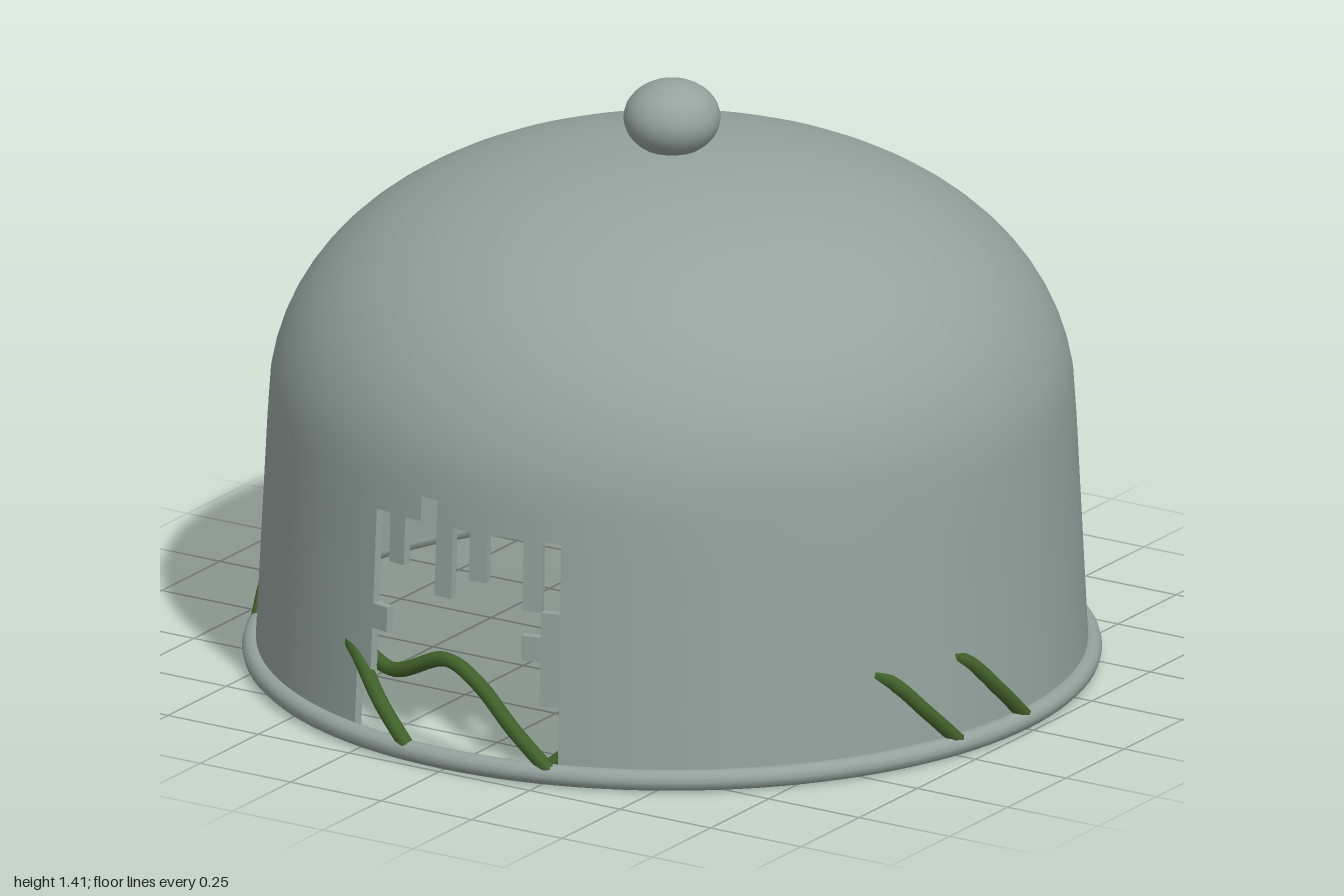
import * as THREE from 'three';

const COLS = 128, STEP = Math.PI * 2 / COLS;
const wallR = y => 0.94 + 0.03 * (0.6 - y) / 0.6;
const polar = (deg, r, y) => {
  const a = THREE.MathUtils.degToRad(deg);
  return new THREE.Vector3(Math.sin(a) * r, y, Math.cos(a) * r);
};

// Profile rows [radius, height]: nearly straight wall, then a rounded crown
function profile() {
  const rows = [0.03, 0.05, 0.115, 0.185, 0.235, 0.29, 0.35, 0.41, 0.463, 0.52, 0.58]
    .map(y => [wallR(y), y]);
  rows.push([0.937, 0.64]);
  for (let i = 0; i <= 18; i++) {
    const a = 0.13 + (Math.PI / 2 - 0.13) * i / 18;
    rows.push([0.94 * Math.max(0, Math.cos(a)) ** 0.909, 0.6 + 0.65 * Math.sin(a) ** 0.909]);
  }
  return rows;
}

// Open height ranges of the ragged breach, by column
const BREACH = {
  '-6': [[0, 0.185]], '-5': [[0, 0.29], [0.35, 0.58]], '-4': [[0, 0.463]], '-3': [[0, 0.58]],
  '-2': [[0, 0.64]], '-1': [[0, 0.41]], 0: [[0, 0.58]], 1: [[0, 0.463]], 2: [[0, 0.58]],
  3: [[0, 0.58]], 4: [[0, 0.29], [0.35, 0.41]], 5: [[0, 0.185], [0.41, 0.58]],
};

function makeDome(material) {
  const group = new THREE.Group();
  group.name = 'dome';
  const outer = profile(), n = outer.length;
  const inner = outer.map(([r, y]) => [r * 0.979, y - 0.02 * (y / 1.25) ** 4]);
  const isOpen = (k, j) => {
    const signed = ((k + COLS / 2 + COLS) % COLS) - COLS / 2;
    if (j < 0 || j >= n - 1) return true;
    const y = (outer[j][1] + outer[j + 1][1]) / 2;
    return (BREACH[signed] || []).some(([lo, hi]) => y > lo && y < hi);
  };
  const point = (rows, k, j) =>
    [Math.sin(k * STEP) * rows[j][0], rows[j][1], Math.cos(k * STEP) * rows[j][0]];
  const add = (name, positions, index) => {
    const g = new THREE.BufferGeometry();
    g.setAttribute('position', new THREE.Float32BufferAttribute(positions, 3));
    if (index) g.setIndex(index);
    g.computeVertexNormals();
    const mesh = new THREE.Mesh(g, material);
    mesh.name = name;
    group.add(mesh);
  };
  // Smooth outer and inner skins
  for (const [name, rows, flip] of [['domeOuter', outer, false], ['domeInner', inner, true]]) {
    const pos = [], idx = [];
    for (let j = 0; j < n; j++) for (let k = 0; k < COLS; k++) pos.push(...point(rows, k, j));
    for (let j = 0; j < n - 1; j++) for (let k = 0; k < COLS; k++) {
      if (isOpen(k, j)) continue;
      const k2 = (k + 1) % COLS;
      const a = j * COLS + k, b = j * COLS + k2, c = b + COLS, d = a + COLS;
      const last = j === n - 2;
      if (flip) idx.push(a, d, b); else idx.push(a, b, d);
      if (!last) { if (flip) idx.push(b, d, c); else idx.push(b, c, d); }
    }
    add(name, pos, idx);
  }
  // Wall thickness around the breach and along the foot
  const edge = [];
  const quad = (k1, j1, k2, j2) => {
    const a = point(outer, k1, j1), b = point(outer, k2, j2);
    const c = point(inner, k2, j2), d = point(inner, k1, j1);
    edge.push(...a, ...d, ...b, ...b, ...d, ...c);
  };
  for (let j = 0; j < n - 1; j++) for (let k = 0; k < COLS; k++) {
    if (isOpen(k, j)) continue;
    if (isOpen(k - 1, j)) quad(k, j + 1, k, j);
    if (isOpen(k + 1, j)) quad(k + 1, j, k + 1, j + 1);
    if (isOpen(k, j - 1)) quad(k, j, k + 1, j);
    if (j < n - 2 && isOpen(k, j + 1)) quad(k + 1, j + 1, k, j + 1);
  }
  add('domeEdges', edge);
  return group;
}

// Vine: leaves the rim outside, pierces the wall, waves along the inside and drops to the rim
function makeVine(startDeg, material) {
  const path = [
    [0, 0.978, 0.03], [0.09, 0.97, 0.12], [0.19, 0.95, 0.215], [0.29, 0.927, 0.25],
    [0.46, 0.925, 0.19], [0.67, 0.92, 0.25], [0.85, 0.925, 0.15], [1, 0.94, 0.03],
  ].map(([t, r, y]) => polar(startDeg - 61 * t, r, y));
  const mesh = new THREE.Mesh(
    new THREE.TubeGeometry(new THREE.CatmullRomCurve3(path), 64, 0.018, 8), material);
  mesh.name = 'vine';
  return mesh;
}

export function createModel() {
  const model = new THREE.Group();
  model.name = 'brokenCloche';
  const stone = new THREE.MeshStandardMaterial({ color: 0x94a39e, side: THREE.DoubleSide });
  stone.name = 'greyGreen';
  const leaf = new THREE.MeshStandardMaterial({ color: 0x41622a });
  leaf.name = 'vineGreen';

  model.add(makeDome(stone));

  // Rolled rim
  const rim = new THREE.Mesh(new THREE.TorusGeometry(0.975, 0.025, 12, 128), stone);
  rim.name = 'rim';
  rim.rotation.x = Math.PI / 2;
  rim.position.y = 0.025;
  model.add(rim);

  // Flattened knob on top
  const knob = new THREE.Mesh(new THREE.SphereGeometry(0.113, 32, 20), stone);
  knob.name = 'knob';
  knob.scale.y = 0.79;
  knob.position.y = 1.322;
  model.add(knob);

  // Vines around the foot
  const vines = new THREE.Group();
  vines.name = 'vines';
  for (const deg of [-132, -85, -67, -6, 16, 76, 90]) vines.add(makeVine(deg, leaf));
  model.add(vines);

  // Drops and drips on the inner wall
  const drips = new THREE.Group();
  drips.name = 'drips';
  let seed = 7;
  const rand = () => (seed = (seed * 16807) % 2147483647) / 2147483647;
  const bead = new THREE.SphereGeometry(0.009, 8, 6);
  for (let i = 0; i < 44; i++) {
    const deg = 25 + 310 * (i + rand() * 0.8) / 44;
    const y = 0.14 + 0.46 * rand();
    const drop = new THREE.Mesh(bead, stone);
    drop.name = 'drip';
    drop.position.copy(polar(deg, wallR(y) * 0.979 - 0.002, y));
    drop.scale.y = i % 3 === 0 ? 4 + 3 * rand() : 1.3;
    drips.add(drop);
  }
  model.add(drips);
  return model;
}
